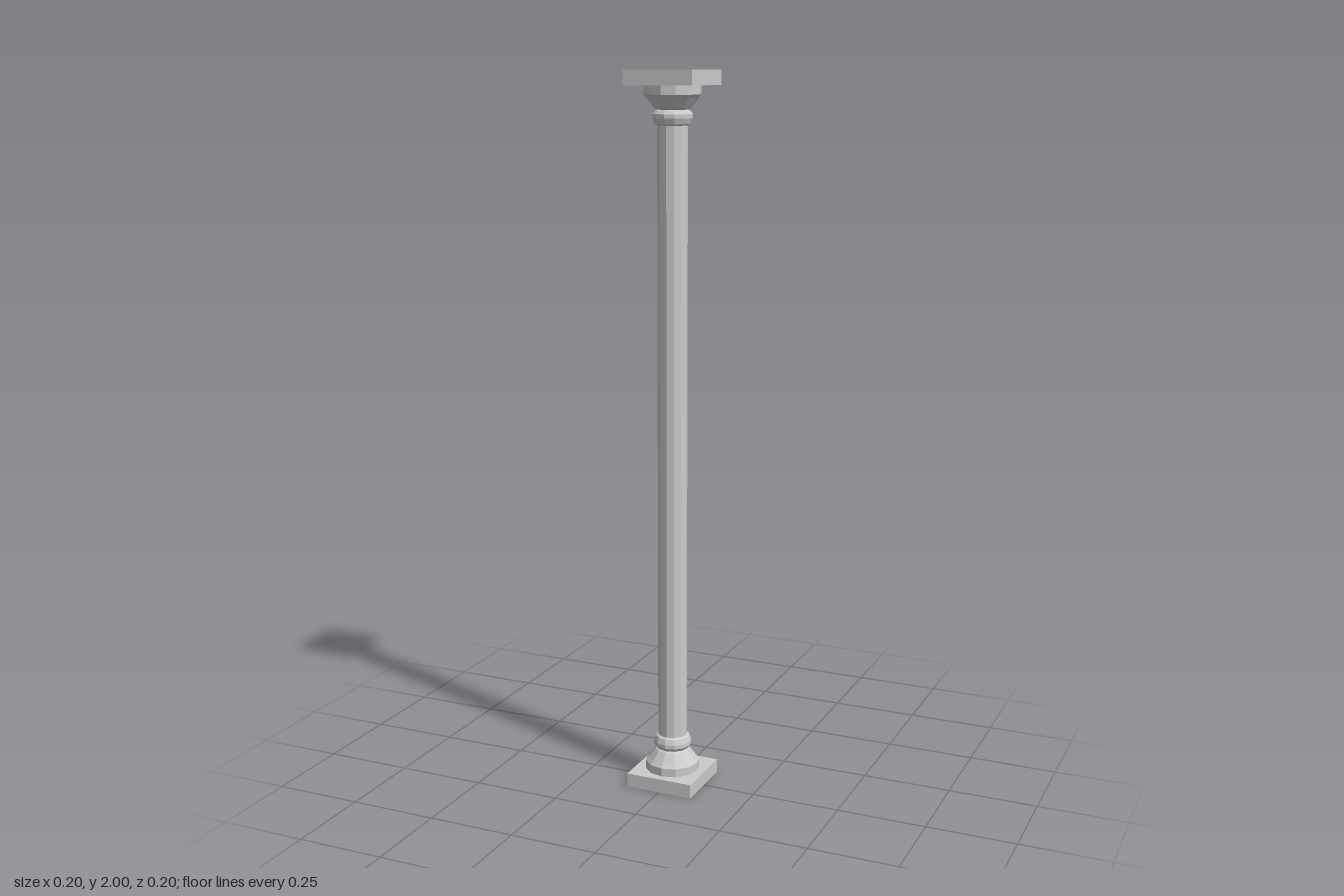
import * as THREE from 'three';

const SIDES = 12;
const material = new THREE.MeshStandardMaterial({ color: 0xcccccc, flatShading: true });

function addMesh(parent, name, geometry, y = 0) {
  const mesh = new THREE.Mesh(geometry, material);
  mesh.name = name;
  mesh.position.y = y;
  parent.add(mesh);
}

// Turned part from [radius, height] pairs, listed from bottom to top
function turned(points) {
  return new THREE.LatheGeometry(points.map(([r, y]) => new THREE.Vector2(r, y)), SIDES);
}

// Square slab, flared foot and collar ring; flipped for the top end
function makeEnd(name, flip) {
  const end = new THREE.Group();
  end.name = name;
  addMesh(end, 'slab', new THREE.BoxGeometry(0.196, 0.04, 0.196), 0.02);
  addMesh(end, 'flaredFoot', turned([
    [0, 0.04], [0.077, 0.04], [0.077, 0.064], [0.069, 0.073], [0.049, 0.099], [0.041, 0.103],
  ]));
  addMesh(end, 'collarRing', turned([
    [0.041, 0.103], [0.047, 0.105], [0.054, 0.114], [0.054, 0.125], [0.048, 0.14], [0.039, 0.145],
  ]));
  if (flip) {
    end.rotation.x = Math.PI;
    end.position.y = 2;
  }
  return end;
}

export function createModel() {
  const column = new THREE.Group();
  column.name = 'column';
  column.add(makeEnd('base', false), makeEnd('capital', true));
  // Straight faceted shaft
  addMesh(column, 'shaft', new THREE.CylinderGeometry(0.041, 0.041, 1.8, SIDES, 1, true), 1);
  return column;
}
